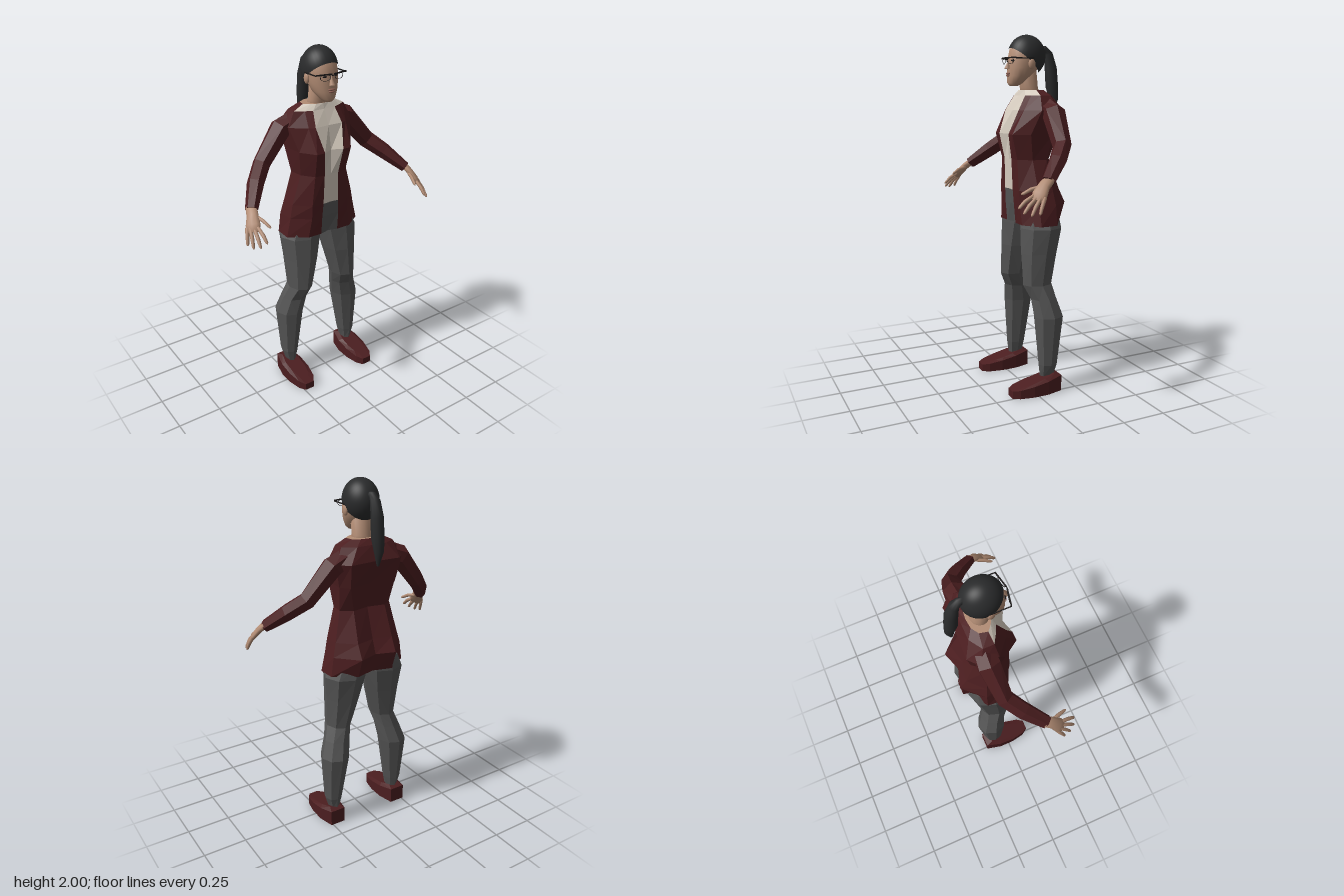
import * as THREE from 'three';

const V = (x, y, z) => new THREE.Vector3(x, y, z);
const mat = (name, color) => Object.assign(new THREE.MeshStandardMaterial({ color }), { name });
const jacketMat = mat('maroon cloth', 0x4c1e20);
const shirtMat = mat('cream shirt', 0xd6ccbf);
const trouserMat = mat('grey trousers', 0x555555);
const skinMat = mat('skin', 0xb28c74);
const lipMat = mat('lips', 0x8f6255);
const hairMat = mat('dark hair', 0x2a2b2c);
const frameMat = mat('glasses frame', 0x1d1a1a);

// Skin a closed body over equal-length rings; pick(row, column) chooses a material, row -1 / n-1 are caps
function loft(name, rings, mats, { flat = true, pick = () => 0 } = {}) {
  const n = rings[0].length, pts = rings.flat(), faces = [];
  const add = (m, ...f) => faces.push({ m, f });
  rings.slice(1).forEach((_, r) => {
    for (let c = 0; c < n; c++) {
      const a = r * n + c, b = r * n + (c + 1) % n;
      add(pick(r, c), a, b, b + n);
      add(pick(r, c), a, b + n, a + n);
    }
  });
  [0, rings.length - 1].forEach((r, end) => {
    const mid = V(0, 0, 0);
    rings[r].forEach(p => mid.addScaledVector(p, 1 / n));
    const k = pts.push(mid) - 1;
    for (let c = 0; c < n; c++) {
      const a = r * n + c, b = r * n + (c + 1) % n;
      end ? add(pick(r, c), a, b, k) : add(pick(-1, c), b, a, k);
    }
  });
  // turn all faces outward whichever way the rings run
  let volume = 0;
  faces.forEach(({ f }) => { volume += pts[f[0]].dot(V(0, 0, 0).crossVectors(pts[f[1]], pts[f[2]])); });
  if (volume < 0) faces.forEach(({ f }) => f.reverse());
  let g = new THREE.BufferGeometry().setFromPoints(pts);
  const index = [];
  mats.forEach((_, m) => {
    const list = faces.filter(q => q.m === m).flatMap(q => q.f);
    if (mats.length > 1) g.addGroup(index.length, list.length, m);
    index.push(...list);
  });
  g.setIndex(index);
  if (flat) g = g.toNonIndexed();
  g.computeVertexNormals();
  return Object.assign(new THREE.Mesh(g, mats.length > 1 ? mats : mats[0]), { name });
}

// Rings across a path of [x, y, z, radius along side, radius across]
function limb(path, side, n) {
  const c = path.map(p => V(p[0], p[1], p[2]));
  return path.map((p, i) => {
    const dir = c[Math.min(i + 1, c.length - 1)].clone().sub(c[Math.max(i - 1, 0)]).normalize();
    const u = V(0, 0, 0).crossVectors(side, dir).normalize();
    const v = V(0, 0, 0).crossVectors(dir, u);
    return Array.from({ length: n }, (_, k) => {
      const t = (k + 0.5) / n * Math.PI * 2;
      return c[i].clone().addScaledVector(v, Math.cos(t) * p[3]).addScaledVector(u, Math.sin(t) * (p[4] ?? p[3]));
    });
  });
}

// Level elliptical rings from [y, x min, x max, z front, z back]
const stack = (rows, n) => rows.map(([y, x0, x1, zf, zb]) => Array.from({ length: n }, (_, k) => {
  const t = k / n * Math.PI * 2;
  return V((x0 + x1) / 2 + Math.cos(t) * (x1 - x0) / 2, y, (zf + zb) / 2 + Math.sin(t) * (zf - zb) / 2);
}));

const mirror = (rings, s) => rings.map(r => r.map(p => V(p.x * s, p.y, p.z)));

function torso() {
  // y, centre front z, five [x, z] pairs round the left side, centre back z
  const rows = [
    [0.96, 0.025, [0.055, 0.04, 0.14, 0.04, 0.24, -0.03, 0.235, -0.13, 0.11, -0.21], -0.18],
    [1.07, 0.045, [0.055, 0.05, 0.12, 0.045, 0.215, -0.03, 0.22, -0.13, 0.11, -0.245], -0.21],
    [1.15, 0.05, [0.05, 0.055, 0.12, 0.05, 0.2, -0.03, 0.2, -0.12, 0.11, -0.205], -0.18],
    [1.32, 0.055, [0.045, 0.06, 0.1, 0.05, 0.15, -0.02, 0.16, -0.1, 0.1, -0.145], -0.125],
    [1.46, 0.055, [0.06, 0.085, 0.11, 0.085, 0.168, 0, 0.18, -0.13, 0.14, -0.18], -0.155],
    [1.59, 0.03, [0.085, 0.035, 0.12, 0.02, 0.2, -0.05, 0.21, -0.15, 0.15, -0.205], -0.195],
    [1.67, -0.01, [0.07, -0.012, 0.11, -0.03, 0.16, -0.06, 0.16, -0.12, 0.09, -0.165], -0.165],
    [1.7, -0.02, [0.04, -0.025, 0.07, -0.04, 0.1, -0.065, 0.09, -0.11, 0.05, -0.135], -0.14],
  ];
  const rings = rows.map(([y, front, side, back]) => {
    const left = [0, 2, 4, 6, 8].map(i => V(side[i], y, side[i + 1]));
    const right = mirror([left], -1)[0].reverse();
    return [V(0, y, front), ...left, V(0, y, back), ...right];
  });
  const pick = (r, c) => {
    const k = Math.min(c, 11 - c);
    if (r < 0) return 2;
    if (r === 7) return 3;
    if (k === 0) return r < 2 ? 2 : 1;
    return r === 6 && k < 3 ? 1 : 0;
  };
  return loft('jacket and shirt', rings, [jacketMat, shirtMat, trouserMat, skinMat], { pick });
}

function sideParts(s, label) {
  const g = new THREE.Group();
  g.name = label + ' limbs';
  const put = (name, rings, m, flat) => g.add(loft(`${label} ${name}`, mirror(rings, s), [m], { flat }));

  put('trouser leg', stack([
    [1.02, 0, 0.21, 0.03, -0.2], [0.94, 0.002, 0.246, 0.038, -0.205], [0.8, 0.035, 0.232, 0.042, -0.175],
    [0.62, 0.083, 0.22, 0.038, -0.138], [0.54, 0.1, 0.25, 0, -0.155], [0.44, 0.118, 0.282, -0.008, -0.185],
    [0.16, 0.162, 0.262, -0.03, -0.145], [0.09, 0.18, 0.238, -0.04, -0.13],
  ], 8), trouserMat);

  // Shoe: flat sole, wedge side and inset top
  const half = [[0.028, 0.148], [0.052, 0.11], [0.067, 0.03], [0.067, -0.06], [0.045, -0.152]];
  const outline = [...half, ...half.map(([x, z]) => [-x, z]).reverse()];
  const shoeRing = (k, h) => outline.map(([x, z]) => V(0.216 + x * k, h(z), z * k - 0.02 * (1 - k)));
  const slope = z => 0.042 + 0.05 * (0.15 - z) / 0.3;
  put('shoe', [shoeRing(1, () => 0), shoeRing(1, slope), shoeRing(0.7, z => slope(z) + 0.012)], jacketMat);

  put('sleeve', limb([
    [0.1, 1.615, -0.11, 0.055, 0.06], [0.21, 1.575, -0.115, 0.065, 0.06], [0.35, 1.41, -0.09, 0.05, 0.05],
    [0.43, 1.34, -0.02, 0.048, 0.045], [0.515, 1.25, 0.08, 0.038, 0.03],
  ], V(0, 0, 1), 6), jacketMat);

  // Hand: flattened palm, four fingers and a thumb
  const across = V(-0.047, 0.015, 0.045).normalize();
  put('palm', limb([
    [0.512, 1.262, 0.07, 0.03, 0.02], [0.527, 1.23, 0.11, 0.032, 0.018],
    [0.543, 1.195, 0.14, 0.04, 0.017], [0.552, 1.165, 0.16, 0.034, 0.012],
  ], across, 10), skinMat, false);
  [
    ['little finger', [0.573, 1.17, 0.13], [0.592, 1.1, 0.165]],
    ['ring finger', [0.562, 1.17, 0.148], [0.58, 1.095, 0.205]],
    ['middle finger', [0.547, 1.172, 0.165], [0.556, 1.105, 0.237]],
    ['index finger', [0.53, 1.18, 0.178], [0.525, 1.128, 0.25]],
    ['thumb', [0.512, 1.225, 0.118], [0.481, 1.19, 0.213]],
  ].forEach(([name, a, b]) => {
    const at = (t, r, lift) => [...a.map((v, i) => v + (b[i] - v) * t + (i === 1 ? lift : 0)), r];
    put(name, limb([at(-0.15, 0.01, 0), at(0.5, 0.0105, 0.007), at(0.9, 0.008, 0), at(1, 0.003, 0)], across, 6), skinMat, false);
  });
  return g;
}

function head() {
  const g = new THREE.Group();
  g.name = 'head';
  const add = (name, geo, m, x = 0, y = 0, z = 0) => {
    const mesh = new THREE.Mesh(geo, m);
    mesh.name = name;
    mesh.position.set(x, y, z);
    g.add(mesh);
    return mesh;
  };
  const ball = (x, y, z) => new THREE.SphereGeometry(1, 14, 10).scale(x, y, z);

  g.add(loft('neck', stack([
    [1.65, -0.075, 0.075, -0.025, -0.14], [1.71, -0.056, 0.056, -0.02, -0.12], [1.82, -0.055, 0.055, 0.005, -0.11],
  ], 14), [skinMat], { flat: false }));
  g.add(loft('face', stack([
    [1.722, -0.022, 0.022, 0.048, 0.0], [1.738, -0.042, 0.042, 0.06, -0.03], [1.775, -0.067, 0.067, 0.06, -0.08],
    [1.82, -0.082, 0.082, 0.058, -0.12], [1.87, -0.087, 0.087, 0.053, -0.14], [1.92, -0.083, 0.083, 0.042, -0.14],
    [1.96, -0.06, 0.06, 0.01, -0.12],
  ], 20), [skinMat], { flat: false }));

  // Features
  const nose = new THREE.ConeGeometry(0.017, 0.055, 8).scale(1, 1, 1.1).rotateX(-0.18);
  add('nose', nose, skinMat, 0, 1.84, 0.058);
  add('upper lip', ball(0.024, 0.006, 0.009), lipMat, 0, 1.789, 0.058);
  add('lower lip', ball(0.019, 0.006, 0.009), lipMat, 0, 1.778, 0.058);
  for (const s of [-1, 1]) {
    add('ear', ball(0.012, 0.03, 0.02), skinMat, s * 0.087, 1.84, -0.045);
    const eye = add('eye', ball(0.012, 0.005, 0.004), frameMat, s * 0.036, 1.858, 0.047);
    eye.rotation.y = s * 0.4;
    // Glasses: brow bar, thin rim and side arm
    const bar = add('glasses bar', new THREE.BoxGeometry(0.088, 0.007, 0.006), frameMat, s * 0.05, 1.873, 0.062);
    bar.rotation.y = s * 0.2;
    const rim = add('glasses rim', new THREE.TorusGeometry(0.024, 0.0015, 5, 20).scale(1.2, 0.7, 1), frameMat, s * 0.042, 1.857, 0.063);
    rim.rotation.y = s * 0.2;
    add('glasses arm', new THREE.BoxGeometry(0.004, 0.006, 0.11), frameMat, s * 0.093, 1.87, 0);
  }
  add('glasses bridge', new THREE.BoxGeometry(0.022, 0.004, 0.004), frameMat, 0, 1.867, 0.073);

  // Hair swept back into a ponytail
  const cap = new THREE.SphereGeometry(1, 32, 20, 0, Math.PI * 2, 0, 1.88).rotateX(-0.67).scale(0.095, 0.115, 0.108);
  add('hair cap', cap, hairMat, 0, 1.885, -0.055);
  g.add(loft('ponytail', limb([
    [0, 1.925, -0.14, 0.018], [0, 1.925, -0.165, 0.02], [0, 1.9, -0.19, 0.028, 0.025], [0, 1.82, -0.208, 0.036, 0.034],
    [0, 1.72, -0.216, 0.036, 0.036], [0, 1.65, -0.228, 0.028, 0.026], [0, 1.57, -0.22, 0.006, 0.008],
  ], V(1, 0, 0), 10), [hairMat], { flat: false }));
  return g;
}

export function createModel() {
  const model = new THREE.Group();
  model.name = 'standing woman';
  model.add(torso(), sideParts(1, 'left'), sideParts(-1, 'right'), head());
  return model;
}
